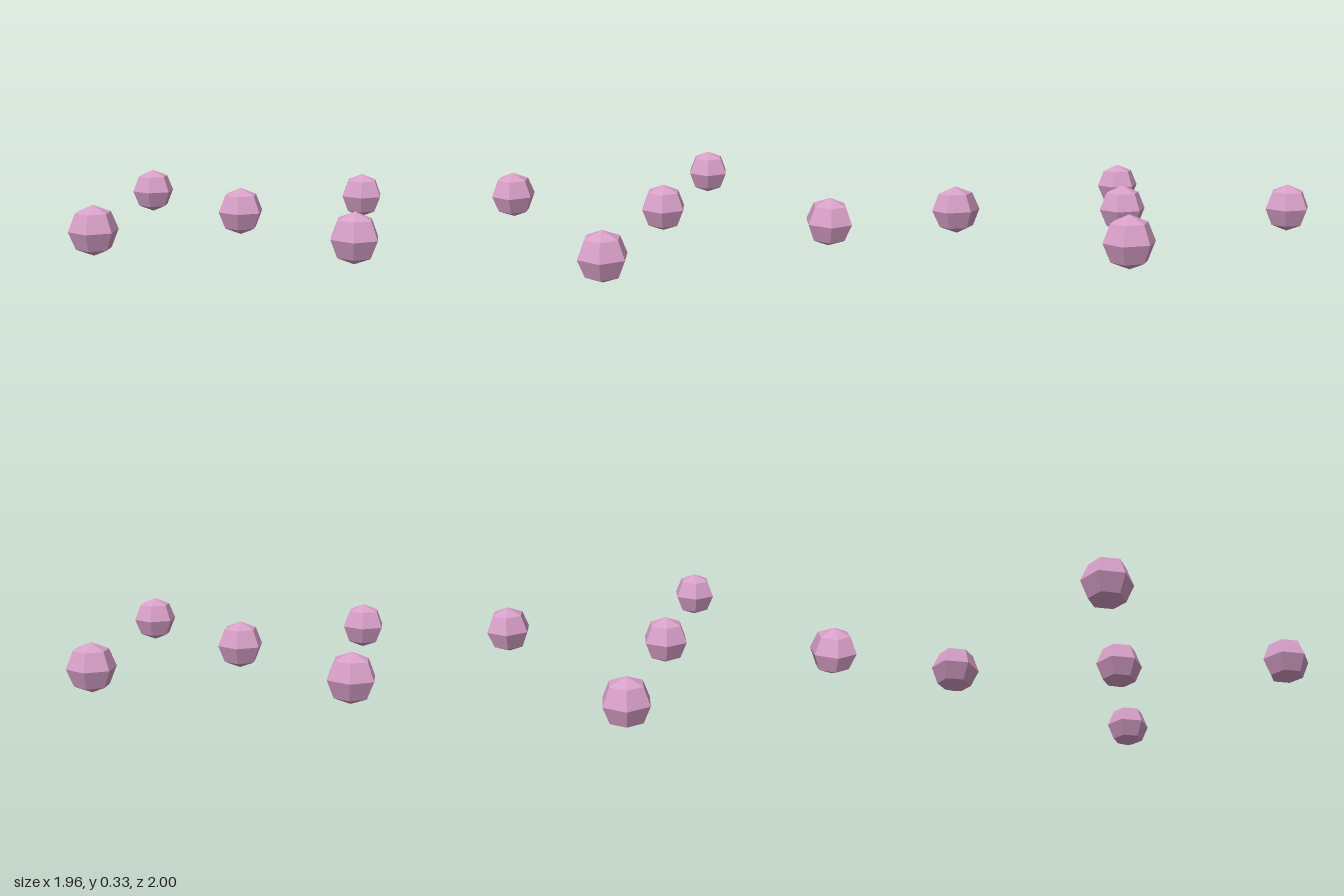
import * as THREE from 'three';

export function createModel() {
  const group = new THREE.Group();
  group.name = 'ballCluster';

  const pink = new THREE.MeshStandardMaterial({ color: 0xd8a0c8, flatShading: true });
  pink.name = 'orchid pink';

  // Low-poly ball: six sides, four bands, corners pointing along z
  const radius = 1 / 6;
  const geometry = new THREE.SphereGeometry(radius, 6, 4);
  geometry.rotateY(Math.PI / 2);

  // One ball in the middle and one at each corner of a square
  const d = 1 - radius;
  const places = {
    centreBall: [0, 0],
    frontLeftBall: [d, d],
    frontRightBall: [-d, d],
    backLeftBall: [d, -d],
    backRightBall: [-d, -d],
  };
  for (const [name, [x, z]] of Object.entries(places)) {
    const ball = new THREE.Mesh(geometry, pink);
    ball.name = name;
    ball.position.set(x, radius, z);
    group.add(ball);
  }
  return group;
}
